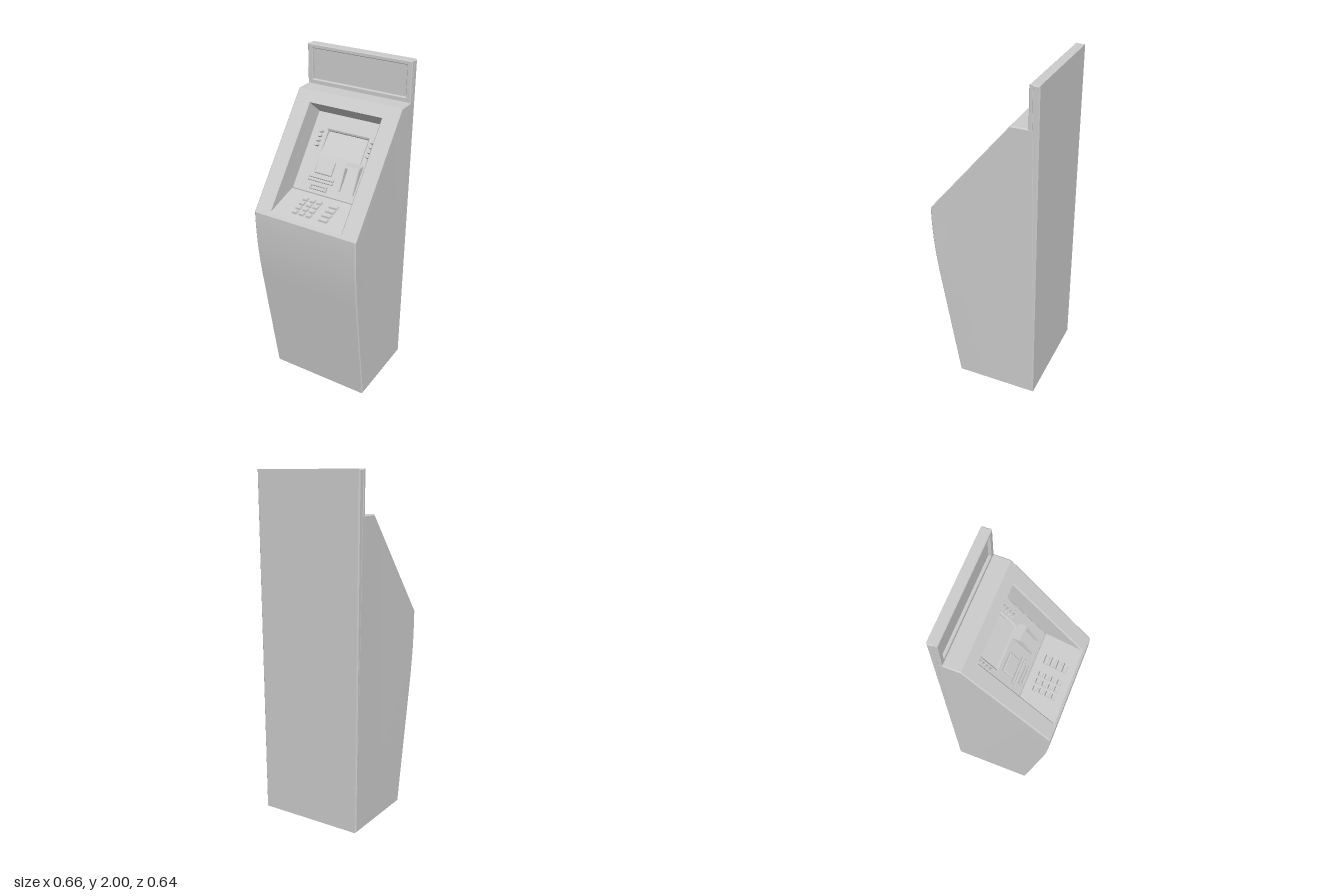
import * as THREE from 'three';
import { toCreasedNormals } from 'three/addons/utils/BufferGeometryUtils.js';

const material = new THREE.MeshStandardMaterial({ color: 0xcccccc });

function add(parent, name, geometry, x = 0, y = 0, z = 0) {
  const mesh = new THREE.Mesh(geometry, material);
  mesh.name = name;
  mesh.position.set(x, y, z);
  parent.add(mesh);
  return mesh;
}

const polygon = (points) => new THREE.Shape(points.map(([a, b]) => new THREE.Vector2(a, b)));

function rectangle(x0, y0, x1, y1) {
  return polygon([[x0, y0], [x1, y0], [x1, y1], [x0, y1]]);
}

// Extrudes a (z, y) side profile across the width from x0 to x1, chamfering inward
function extrudeX(shape, x0, x1, bevel = 0) {
  const geometry = new THREE.ExtrudeGeometry(shape, {
    depth: x1 - x0 - 2 * bevel, curveSegments: 12, bevelEnabled: bevel > 0,
    bevelThickness: bevel, bevelSize: bevel, bevelOffset: -bevel, bevelSegments: 1,
  });
  geometry.rotateY(-Math.PI / 2);
  geometry.translate(x1 - bevel, 0, 0);
  return geometry;
}

// Plate facing +z, from 0 to depth, with chamfered rims
function plate(shape, depth, bevel) {
  const geometry = new THREE.ExtrudeGeometry(shape, {
    depth: depth - bevel, bevelEnabled: true, bevelThickness: bevel,
    bevelSize: bevel, bevelOffset: -bevel, bevelSegments: 1,
  });
  return geometry;
}

// Narrows the cabinet towards the foot
function taper(geometry) {
  const p = geometry.attributes.position;
  for (let i = 0; i < p.count; i++) {
    const drop = Math.max(0, 0.95 - p.getY(i)) / 0.95;
    p.setX(i, p.getX(i) * (1 - 0.036 * drop));
  }
  return toCreasedNormals(geometry, 0.35);
}

// Cabinet side outline; the middle section also has the console recess cut into it
function cabinetProfile(recessed) {
  const s = new THREE.Shape();
  s.moveTo(-0.318, 0);
  s.lineTo(0.175, 0);
  s.lineTo(0.283, 0.72);
  s.quadraticCurveTo(0.318, 0.953, 0.318, 1.15);
  s.lineTo(0.318, 1.18);
  if (recessed) {
    s.lineTo(0.305, 1.196);
    s.lineTo(0.08, 1.255);
    s.lineTo(0.0566, 1.236);
    s.lineTo(-0.2434, 1.611);
    s.lineTo(-0.118, 1.713);
  }
  s.lineTo(-0.165, 1.77);
  s.lineTo(-0.278, 1.77);
  s.lineTo(-0.278, 2);
  s.lineTo(-0.318, 2);
  return s;
}

// Box whose top is smaller than its base
function keycap(w, h, d) {
  const geometry = new THREE.BoxGeometry(w, h, d);
  const p = geometry.attributes.position;
  for (let i = 0; i < p.count; i++) {
    if (p.getY(i) > 0) {
      p.setX(i, p.getX(i) - Math.sign(p.getX(i)) * 0.004);
      p.setZ(i, p.getZ(i) - Math.sign(p.getZ(i)) * 0.004);
    }
  }
  geometry.computeVertexNormals();
  return geometry;
}

export function createModel() {
  const model = new THREE.Group();
  model.name = 'kiosk';

  // Cabinet: recessed middle between two full side walls
  add(model, 'cabinetMiddle', taper(extrudeX(cabinetProfile(true), -0.237, 0.237)));
  add(model, 'leftSideWall', taper(extrudeX(cabinetProfile(false), 0.231, 0.33, 0.006)));
  add(model, 'rightSideWall', taper(extrudeX(cabinetProfile(false), -0.33, -0.231, 0.006)));

  // Raised frame around the header sign
  const header = rectangle(-0.33, 1.765, 0.33, 2);
  header.holes.push(rectangle(-0.298, 1.796, 0.298, 1.976));
  add(model, 'signFrame', plate(header, 0.017, 0.004), 0, 0, -0.279);

  // Sloping console: local y runs up the slope, z points out of it
  const panel = new THREE.Group();
  panel.name = 'consolePanel';
  panel.position.set(0, 1.255, 0.08);
  panel.rotation.x = -Math.atan2(0.3, 0.375);
  model.add(panel);

  const face = rectangle(-0.235, -0.002, 0.235, 0.482);
  face.holes.push(rectangle(-0.132, 0.235, 0.132, 0.38));
  add(panel, 'facePlate', plate(face, 0.03, 0.008), 0, 0, -0.03);

  // Screen leans back into its opening
  const screen = polygon([[-0.03, 0.225], [-0.006, 0.225], [-0.026, 0.39], [-0.03, 0.39]]);
  add(panel, 'screen', extrudeX(screen, -0.142, 0.142));

  // Oval buttons beside the screen
  const button = new THREE.CylinderGeometry(0.013, 0.018, 0.016, 16);
  button.rotateX(Math.PI / 2);
  button.scale(1, 0.62, 1);
  for (const side of [-1, 1]) {
    for (let i = 0; i < 4; i++) {
      add(panel, 'screenButton', button, side * 0.168, 0.282 + i * 0.028, 0.006);
    }
  }

  // Card reader plate, double-lipped slot and receipt outlet
  add(panel, 'readerPlate', plate(rectangle(-0.12, 0.12, -0.01, 0.2), 0.014, 0.004));
  for (const v of [0.072, 0.091]) {
    add(panel, 'slotLip', plate(rectangle(-0.145, v, 0.015, v + 0.014), 0.014, 0.003));
  }
  const outlet = rectangle(-0.12, 0.025, -0.01, 0.055);
  outlet.holes.push(rectangle(-0.111, 0.034, -0.019, 0.046));
  add(panel, 'receiptOutlet', plate(outlet, 0.014, 0.003));

  // Hood with a level roof and two sloping cheeks
  const roof = polygon([[-0.004, 0.2], [0.035, 0.184], [0.035, 0.196], [-0.004, 0.227]]);
  add(panel, 'hoodRoof', extrudeX(roof, 0.065, 0.16));
  const cheek = polygon([[-0.004, 0.05], [0.01, 0.05], [0.035, 0.185], [-0.004, 0.215]]);
  add(panel, 'hoodCheek', extrudeX(cheek, 0.065, 0.073));
  add(panel, 'hoodCheek', extrudeX(cheek, 0.152, 0.16));

  // Keypad on the gently sloping shelf
  const shelf = new THREE.Group();
  shelf.name = 'keypadShelf';
  shelf.position.set(0, 1.255, 0.08);
  shelf.rotation.x = Math.atan2(0.059, 0.225);
  model.add(shelf);
  const numberKey = keycap(0.034, 0.016, 0.029);
  const functionKey = keycap(0.059, 0.016, 0.029);
  for (let row = 0; row < 4; row++) {
    const z = 0.06 + row * 0.038;
    for (const x of [-0.097, -0.051, -0.006]) add(shelf, 'numberKey', numberKey, x, 0.004, z);
    add(shelf, 'functionKey', functionKey, 0.087, 0.004, z);
  }

  return model;
}
